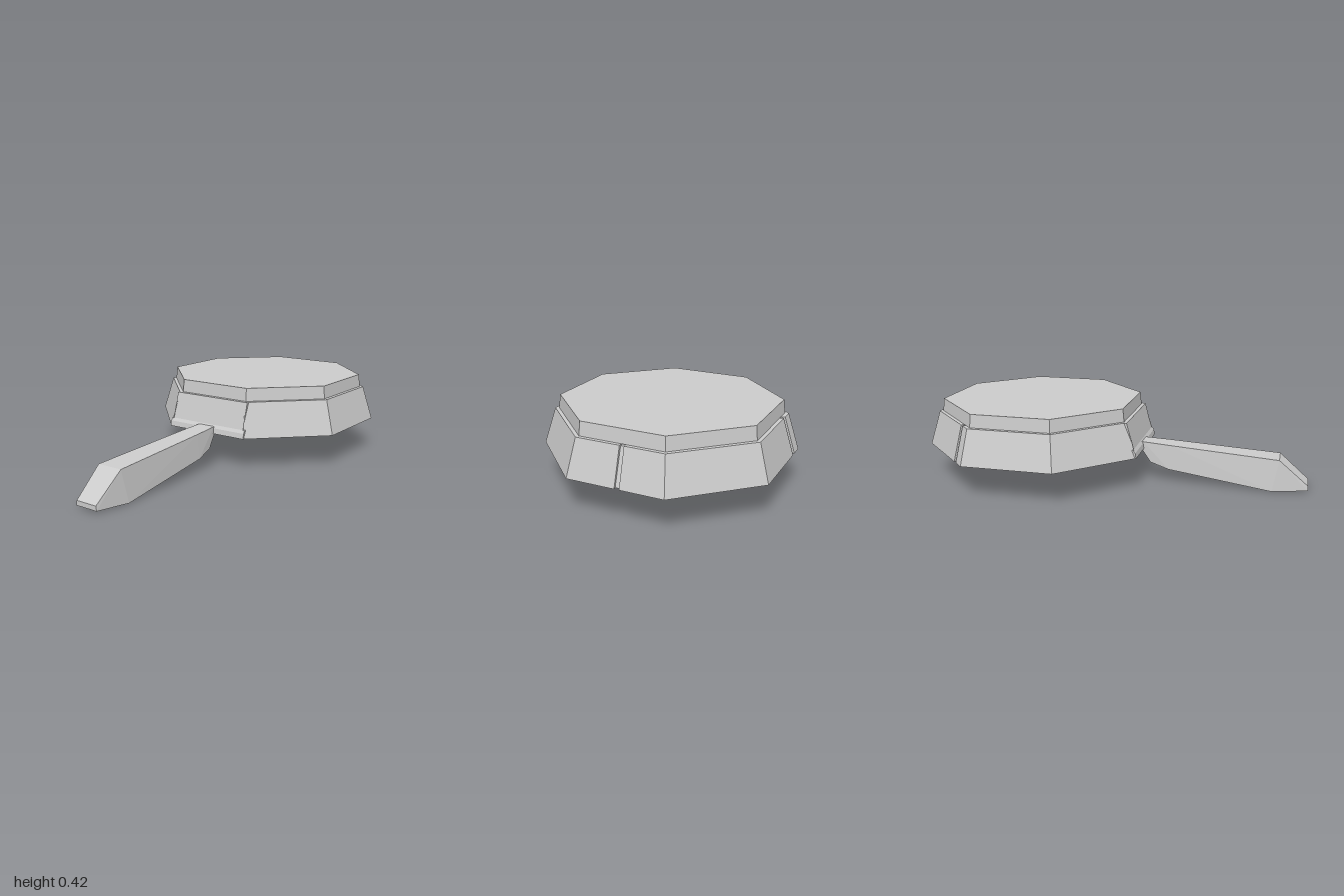
import * as THREE from 'three';
import { ConvexGeometry } from 'three/addons/geometries/ConvexGeometry.js';

const CENTER_Z = -0.43;
const TAN = Math.tan(Math.PI / 8), COS = Math.cos(Math.PI / 8);
const material = new THREE.MeshStandardMaterial({ color: 0xcccccc, flatShading: true });

export function createModel() {
  const model = new THREE.Group();
  const pan = new THREE.Group();
  pan.name = 'pan';
  pan.position.z = CENTER_Z;
  model.add(pan);

  const add = (parent, name, geometry) => {
    const mesh = new THREE.Mesh(geometry, material);
    mesh.name = name;
    parent.add(mesh);
    return mesh;
  };

  // Eight-sided solid from a profile of [distance to flat side, height]
  const octagon = (profile) => {
    const points = profile.map(([a, y]) => new THREE.Vector2(a / COS, y));
    const geometry = new THREE.LatheGeometry(points, 8, Math.PI / 8).toNonIndexed();
    geometry.computeVertexNormals();
    return geometry;
  };

  // Flared shell, hollow underneath
  add(pan, 'shell', octagon([[0, 0.33], [0.41, 0.33], [0.54, 0.174],
    [0.56, 0.174], [0.508, 0.347], [0, 0.347]]));

  // Raised disc on top
  add(pan, 'disc', octagon([[0, 0.34], [0.502, 0.353], [0.495, 0.42], [0, 0.42]]));

  // Slab along one flat side, from f0 to f1 (-1 to 1 corner to corner)
  const panel = (f0, f1, shift) => {
    const points = [];
    for (const [a, y] of [[0.571, 0.172], [0.55, 0.172], [0.519, 0.352], [0.495, 0.352]]) {
      for (const f of [f0, f1]) points.push(new THREE.Vector3(f * a * TAN, y, a + shift));
    }
    return new ConvexGeometry(points);
  };

  // Panels counted from the front towards +x; two of them are split by a groove
  const splits = { 3: 0.06, 5: 0.66 };
  for (let i = 0; i < 8; i++) {
    const cut = splits[i];
    const spans = cut === undefined ? [[-1, 1]] : [[-1, cut - 0.05], [cut + 0.05, 1]];
    const shift = i === 0 ? -0.012 : 0;
    for (const [f0, f1] of spans) {
      add(pan, 'sidePanel', panel(f0, f1, shift)).rotation.y = i * Math.PI / 4;
    }
  }

  // Front plate with a lip under it
  const bar = (halfWidth, section) => new ConvexGeometry(section.flatMap(([y, z]) =>
    [-halfWidth, halfWidth].map((x) => new THREE.Vector3(x, y, z))));
  add(model, 'frontPlate', bar(0.228, [[0.21, 0.08], [0.21, 0.128], [0.352, 0.09], [0.352, 0.06]]));
  add(model, 'frontLip', bar(0.24, [[0.172, 0.11], [0.172, 0.143], [0.2, 0.138], [0.216, 0.126], [0.216, 0.1]]));

  // Handle: [z top, y top, half width top, z bottom, y bottom, half width bottom]
  const sections = [
    [0.1, 0.21, 0.045, 0.125, 0.172, 0.045],
    [0.14, 0.208, 0.05, 0.18, 0.1, 0.055],
    [0.28, 0.2, 0.057, 0.28, 0.07, 0.066],
    [0.85, 0.165, 0.07, 0.82, 0, 0.085],
    [1, 0.036, 0.06, 1, 0.012, 0.063],
  ];
  add(model, 'handle', new ConvexGeometry(sections.flatMap(([zt, yt, wt, zb, yb, wb]) =>
    [-1, 1].flatMap((s) => [
      new THREE.Vector3(s * wt, yt, zt), new THREE.Vector3(s * wb, yb, zb)]))));

  return model;
}
